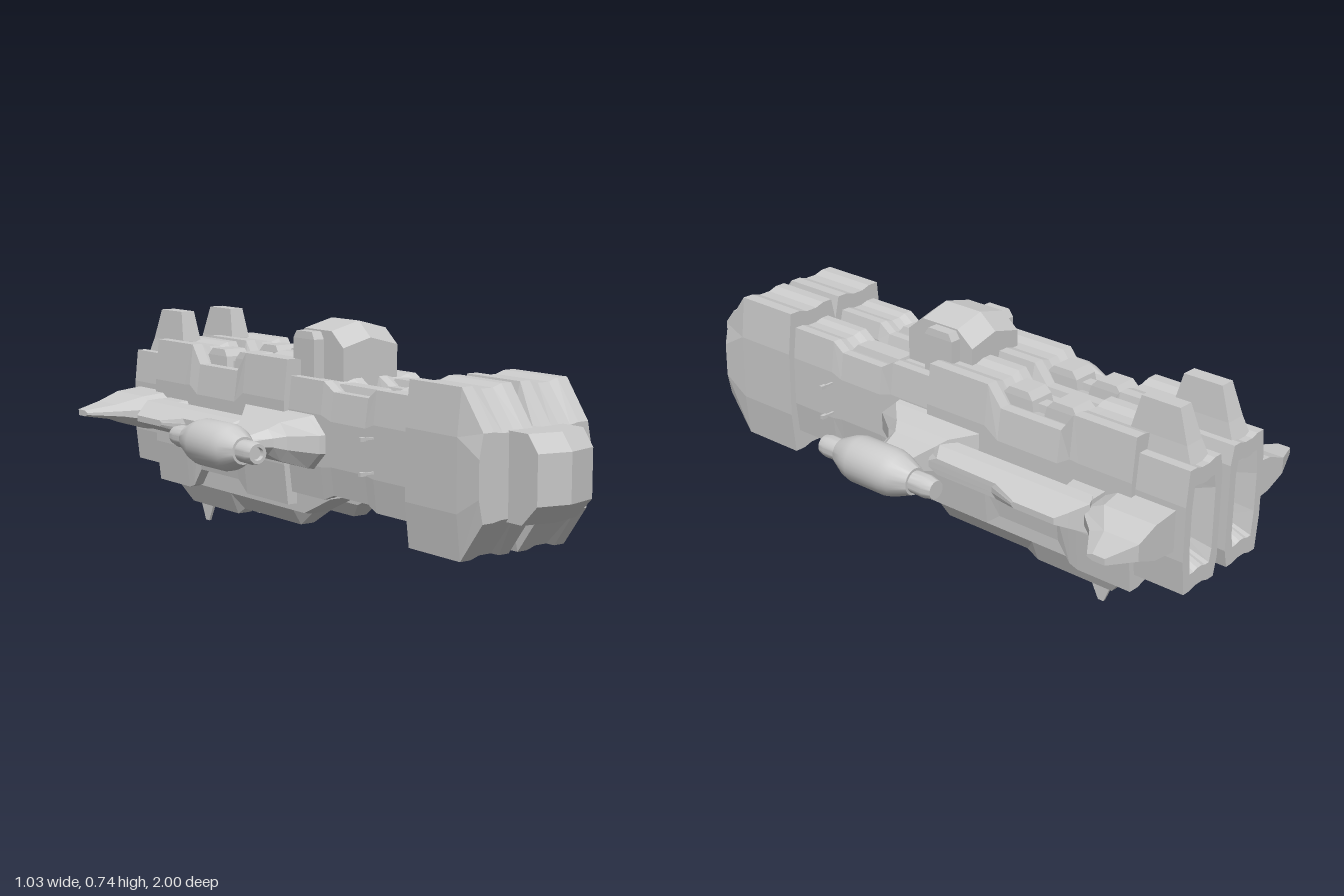
import * as THREE from 'three';
import { toCreasedNormals } from 'three/addons/utils/BufferGeometryUtils.js';

const flat = new THREE.MeshStandardMaterial({ color: 0xcccccc, flatShading: true });
const smooth = new THREE.MeshStandardMaterial({ color: 0xcccccc });
const AXIS_Y = 0.375; // height of wings and pods

// Skin a list of matching cross-sections, cap both ends, and face everything outwards
function loft(sections) {
  const tris = [];
  const centre = (s) => [0, 1, 2].map((k) => s.reduce((a, p) => a + p[k], 0) / s.length);
  const n = sections[0].length;
  for (let i = 0; i < sections.length - 1; i++) {
    const a = sections[i], b = sections[i + 1];
    for (let j = 0; j < n; j++) {
      const k = (j + 1) % n;
      tris.push([a[j], a[k], b[k]], [a[j], b[k], b[j]]);
    }
  }
  const first = sections[0], last = sections[sections.length - 1];
  const c0 = centre(first), c1 = centre(last);
  for (let j = 0; j < n; j++) {
    const k = (j + 1) % n;
    tris.push([c0, first[k], first[j]], [c1, last[j], last[k]]);
  }
  const v = (p) => new THREE.Vector3(...p);
  const volume = tris.reduce((sum, [a, b, c]) => sum + v(a).dot(v(b).cross(v(c))), 0);
  if (volume < 0) tris.forEach((t) => t.reverse());
  const g = new THREE.BufferGeometry();
  g.setAttribute('position', new THREE.Float32BufferAttribute(tris.flat(2), 3));
  g.computeVertexNormals();
  return g;
}

// Hull cross-section as fractions of width and height: dented top and bottom, bevelled inner corner
const HULL = [[0, 0.85], [0.08, 1], [0.25, 1], [0.4, 0.98], [0.6, 0.98], [0.75, 1], [0.93, 1], [1, 0.72],
  [1, 0.28], [0.93, 0], [0.75, 0], [0.6, 0.02], [0.4, 0.02], [0.25, 0], [0.08, 0], [0, 0.15]];

// Stations along z: [z, bottom, top, inner x, outer x]
const hull = (side, stations) => loft(stations.map(([z, y0, y1, x0, x1]) =>
  HULL.map(([u, t]) => [side * (x0 + u * (x1 - x0)), y0 + t * (y1 - y0), z])));

// Tapered block between two levels, each [y, x centre, half width, front z, back z]
const block = (side, ...levels) => loft(levels.map(([y, x, w, zf, zb]) =>
  [[x - w, y, zf], [x + w, y, zf], [x + w, y, zb], [x - w, y, zb]].map(([a, b, c]) => [side * a, b, c])));

// Wing with a bevelled leading edge; stations along x: [x, front z, back z, half thickness]
const wing = (side, bevel, stations) => loft(stations.map(([x, zf, zb, h]) => {
  const zm = zf + (zb - zf) * bevel;
  return [[zf, 0.35], [zm, 1], [zb, 1], [zb, -1], [zm, -1], [zf, -0.35]]
    .map(([z, t]) => [side * x, AXIS_Y + t * h, z]);
}));

export function createModel() {
  const model = new THREE.Group();
  const add = (name, geometry, material = flat, parent = model) => {
    const mesh = new THREE.Mesh(geometry, material);
    mesh.name = name;
    parent.add(mesh);
    return mesh;
  };

  // Cockpit nose, pointed along its centre line
  add('noseCockpit', loft([-0.103, 0, 0.103].map((x) => {
    const d = x === 0 ? 0.025 : 0;
    return [[0.8, 0.245], [0.915 + d, 0.245], [0.975 + d, 0.305], [0.975 + d, 0.45], [0.935 + d, 0.5], [0.8, 0.5]]
      .map(([z, y]) => [x, y, z]);
  })));

  // Bridge with a ridged roof
  add('bridge', loft([[0.11, 0.66], [0.05, 0.708], [-0.09, 0.708], [-0.15, 0.66]].map(([z, y]) =>
    [[-0.105, 0.53, z], [0.105, 0.53, z], [0.105, y, z], [0, y + 0.027, z], [-0.105, y, z]])));

  for (const s of [1, -1]) {
    const half = new THREE.Group();
    half.name = s > 0 ? 'leftHalf' : 'rightHalf';
    model.add(half);
    const put = (name, geometry, material) => add(name, geometry, material, half);

    // Head, core with hollow engine nozzle, and armoured midsection
    put('headBlock', hull(s, [[0.86, 0.25, 0.5, 0, 0.21], [0.77, 0.13, 0.617, 0, 0.212], [0.545, 0.13, 0.617, 0, 0.212]]));
    put('coreHull', hull(s, [
      [0.6, 0.2, 0.565, 0.02, 0.19], [0.37, 0.2, 0.565, 0.02, 0.19],
      [0.33, 0.22, 0.537, 0.02, 0.19], [0.16, 0.22, 0.537, 0.02, 0.19],
      [0.11, 0.2, 0.565, 0.02, 0.19], [-0.12, 0.2, 0.565, 0.02, 0.19],
      [-0.2, 0.23, 0.53, 0.02, 0.19], [-0.7, 0.23, 0.53, 0.02, 0.19],
      [-0.78, 0.18, 0.565, 0.02, 0.19], [-1, 0.18, 0.565, 0.02, 0.19],
      [-1, 0.235, 0.51, 0.05, 0.16], [-0.91, 0.275, 0.47, 0.07, 0.14]]));
    put('midHull', hull(s, [
      [-0.06, 0.16, 0.617, 0.004, 0.208], [-0.29, 0.16, 0.617, 0.004, 0.208],
      [-0.34, 0.2, 0.555, 0.004, 0.208], [-0.565, 0.2, 0.555, 0.004, 0.208],
      [-0.61, 0.14, 0.617, 0.004, 0.208], [-0.64, 0.13, 0.617, 0.004, 0.208],
      [-0.83, 0.13, 0.617, 0.004, 0.208]]));

    // Keel below the midsection with its small fin
    put('keel', loft([[0.12, 0.2], [-0.02, 0.13], [-0.08, 0.085], [-0.4, 0.085], [-0.44, 0.062], [-0.72, 0.062], [-0.78, 0.13]]
      .map(([z, y]) => [[0.05, 0.23], [0.05, Math.max(y, 0.135)], [0.08, y], [0.13, y], [0.16, Math.max(y, 0.135)], [0.16, 0.23]]
        .map(([x, b]) => [s * x, b, z]))));
    put('keelFin', block(s, [0.08, 0.105, 0.005, -0.615, -0.71], [0, 0.105, 0.004, -0.655, -0.675]));

    // Top details: tail fin, ribs and recessed vents
    put('tailFin', block(s, [0.55, 0.1, 0.045, -0.755, -0.98], [0.61, 0.1, 0.035, -0.765, -0.955], [0.71, 0.1, 0.025, -0.79, -0.92]));
    put('neckRib', block(s, [0.52, 0.105, 0.035, 0.34, 0.12], [0.556, 0.105, 0.025, 0.31, 0.13]));
    put('lowerNeckRib', block(s, [0.24, 0.105, 0.035, 0.34, 0.12], [0.205, 0.105, 0.025, 0.31, 0.13]));
    for (const z of [-0.365, -0.53]) {
      put('ventBlock', block(s, [0.54, 0.103, 0.048, z + 0.065, z - 0.065], [0.585, 0.103, 0.044, z + 0.055, z - 0.055],
        [0.607, 0.103, 0.04, z + 0.035, z - 0.035]));
    }
    put('ventLink', block(s, [0.54, 0.103, 0.025, -0.4, -0.5], [0.572, 0.103, 0.02, -0.4, -0.5]));
    put('bridgeSidePod', block(s, [0.55, 0.12, 0.022, 0.01, -0.1], [0.68, 0.12, 0.022, 0.01, -0.1], [0.703, 0.12, 0.02, -0.005, -0.085]));

    // Pylon, side rail and rear wing
    put('podPylon', wing(s, 0.15, [[0.18, 0.135, -0.27, 0.085], [0.21, 0.13, -0.27, 0.08], [0.27, 0.045, -0.2, 0.06],
      [0.3, 0.015, -0.175, 0.04], [0.4, -0.02, -0.14, 0.012]]));
    put('sideRail', wing(s, 0.06, [[0.25, -0.13, -0.73, 0.052], [0.29, -0.15, -0.75, 0.046], [0.333, -0.18, -0.715, 0.026],
      [0.337, -0.43, -0.712, 0.024], [0.368, -0.53, -0.685, 0.01]]));
    put('railMount', wing(s, 0.15, [[0.19, -0.6, -0.74, 0.052], [0.27, -0.62, -0.74, 0.048]]));
    put('rearWing', wing(s, 0.3, [[0.18, -0.7, -0.968, 0.065], [0.28, -0.715, -0.968, 0.055], [0.355, -0.8, -0.968, 0.026],
      [0.455, -0.87, -0.93, 0.01]]));

    // Round side pod
    const profile = [[0, 0.13], [0.018, 0.13], [0.02, 0.143], [0.03, 0.143], [0.035, 0.12], [0.034, 0.07], [0.042, 0.07],
      [0.066, 0.02], [0.073, -0.01], [0.073, -0.14], [0.066, -0.17], [0.042, -0.23], [0.034, -0.23], [0.035, -0.28],
      [0.028, -0.312], [0, -0.312]].reverse().map(([r, z]) => new THREE.Vector2(r, z));
    const pod = toCreasedNormals(new THREE.LatheGeometry(profile, 32), 0.45);
    pod.rotateX(Math.PI / 2).translate(s * 0.443, 0.373, 0);
    put('sidePod', pod, smooth);

    // Short antennas on the neck
    for (const y of [0.425, 0.322]) {
      put('antenna', new THREE.BoxGeometry(0.06, 0.007, 0.007).translate(s * 0.21, y, 0.37));
      put('antennaTip', new THREE.BoxGeometry(0.02, 0.012, 0.012).translate(s * 0.232, y, 0.37));
    }
  }
  return model;
}
